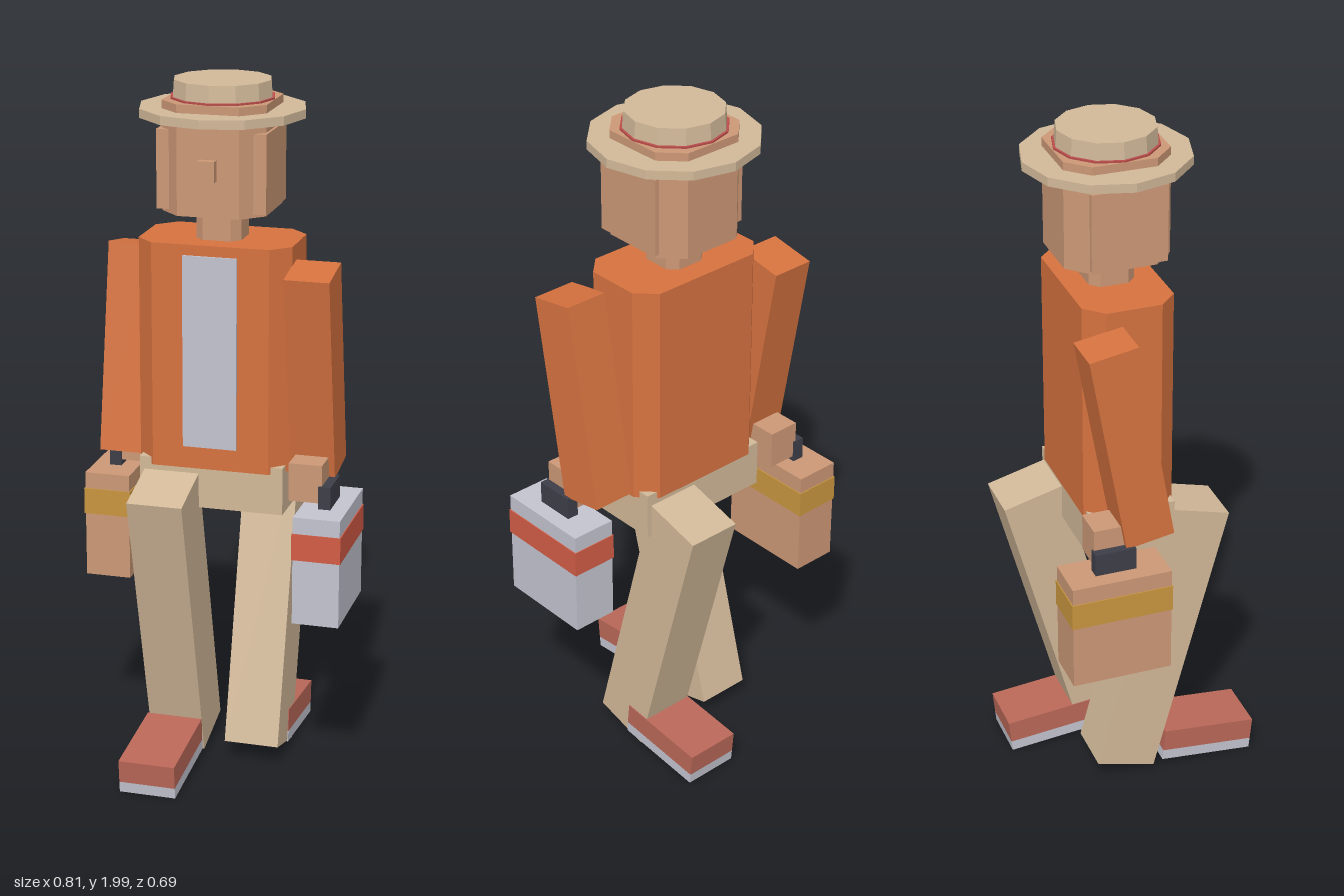
import * as THREE from 'three';

const mat = (name, color) => {
  const m = new THREE.MeshStandardMaterial({ color });
  m.name = name;
  return m;
};

export function createModel() {
  const orange = mat('orange jacket', 0xd6723f);
  const skin = mat('skin tan', 0xcc9876);
  const khaki = mat('khaki', 0xd2b999);
  const pale = mat('pale grey', 0xc4c4d0);
  const red = mat('case red', 0xd35c46);
  const shoeRed = mat('shoe red', 0xba6858);
  const bandRed = mat('hat band red', 0xba4d4a);
  const amber = mat('amber', 0xc9963f);
  const dark = mat('dark grey', 0x3e3e48);

  const model = new THREE.Group();
  model.name = 'figure';
  const body = new THREE.Group();
  body.name = 'body';
  body.position.z = -0.043; // all limbs are arranged around this axis
  model.add(body);

  const add = (name, geometry, material, x, y, z, parent = body) => {
    const mesh = new THREE.Mesh(geometry, material);
    mesh.name = name;
    mesh.position.set(x, y, z);
    parent.add(mesh);
    return mesh;
  };
  const box = (name, material, w, h, d, x, y, z, parent) =>
    add(name, new THREE.BoxGeometry(w, h, d), material, x, y, z, parent);

  // Upright block with chamfered vertical edges, standing on y0
  const prism = (name, material, w, d, c, y0, y1) => {
    const a = w / 2, b = d / 2;
    const shape = new THREE.Shape([
      [a - c, -b], [a, c - b], [a, b - c], [a - c, b],
      [c - a, b], [-a, b - c], [-a, c - b], [c - a, -b],
    ].map(([x, y]) => new THREE.Vector2(x, y)));
    const g = new THREE.ExtrudeGeometry(shape, { depth: y1 - y0, bevelEnabled: false });
    g.rotateX(-Math.PI / 2);
    return add(name, g, material, 0, y0, 0);
  };
  const disc = (name, material, rTop, rBottom, y0, y1) => {
    const g = new THREE.CylinderGeometry(rTop, rBottom, y1 - y0, 12).toNonIndexed();
    g.computeVertexNormals();
    return add(name, g, material, 0, (y0 + y1) / 2, 0);
  };

  // Torso, shirt and hips
  prism('torso', orange, 0.44, 0.262, 0.052, 0.915, 1.56);
  box('shirtFront', pale, 0.155, 0.55, 0.008, 0, 1.255, 0.134);
  box('hips', khaki, 0.418, 0.138, 0.25, 0, 0.866, 0);

  // Head
  prism('neck', skin, 0.13, 0.13, 0.025, 1.55, 1.65);
  prism('head', skin, 0.295, 0.3, 0.06, 1.643, 1.948);
  box('cheeks', skin, 0.31, 0.22, 0.215, 0, 1.763, 0.011);
  box('nose', skin, 0.048, 0.058, 0.04, 0, 1.773, 0.152);

  // Hat
  disc('hatBrim', khaki, 0.234, 0.234, 1.9, 1.925);
  disc('hatBand', bandRed, 0.147, 0.147, 1.925, 1.953);
  disc('hatCrown', khaki, 0.137, 0.142, 1.93, 2.0);

  // Limbs: s = +1 is the model's left, s = -1 its right; the stride is opposite on each side
  for (const s of [1, -1]) {
    const side = s > 0 ? 'left' : 'right';

    const arm = box(side + 'Arm', orange, 0.128, 0.6, 0.14, s * 0.282, 1.207, s * 0.051);
    arm.rotation.x = s * THREE.MathUtils.degToRad(10);
    box(side + 'Hand', skin, 0.095, 0.11, 0.105, s * 0.282, 0.91, s * 0.105);

    // Carried case with handle and stripe
    box(side + 'CaseHandle', dark, 0.035, 0.07, 0.118, s * 0.338, 0.87, s * 0.103);
    box(side + 'Case', s > 0 ? pale : skin, 0.133, 0.315, 0.287, s * 0.336, 0.682, s * 0.101);
    box(side + 'CaseStripe', s > 0 ? red : amber, 0.139, 0.077, 0.293, s * 0.336, 0.753, s * 0.101);

    const leg = box(side + 'Leg', khaki, 0.16, 0.862, 0.18, s * 0.115, 0.459, -s * 0.098);
    leg.rotation.x = -s * THREE.MathUtils.degToRad(15);

    // Shoe with pale sole
    const shoe = new THREE.Group();
    shoe.name = side + 'Shoe';
    shoe.position.set(s * 0.115, 0.069, -s * 0.202 + 0.043);
    shoe.rotation.x = -s * THREE.MathUtils.degToRad(5.4);
    body.add(shoe);
    box(side + 'ShoeUpper', shoeRed, 0.165, 0.068, 0.28, 0, 0.016, 0, shoe);
    box(side + 'ShoeSole', pale, 0.165, 0.032, 0.28, 0, -0.034, 0, shoe);
  }
  return model;
}
